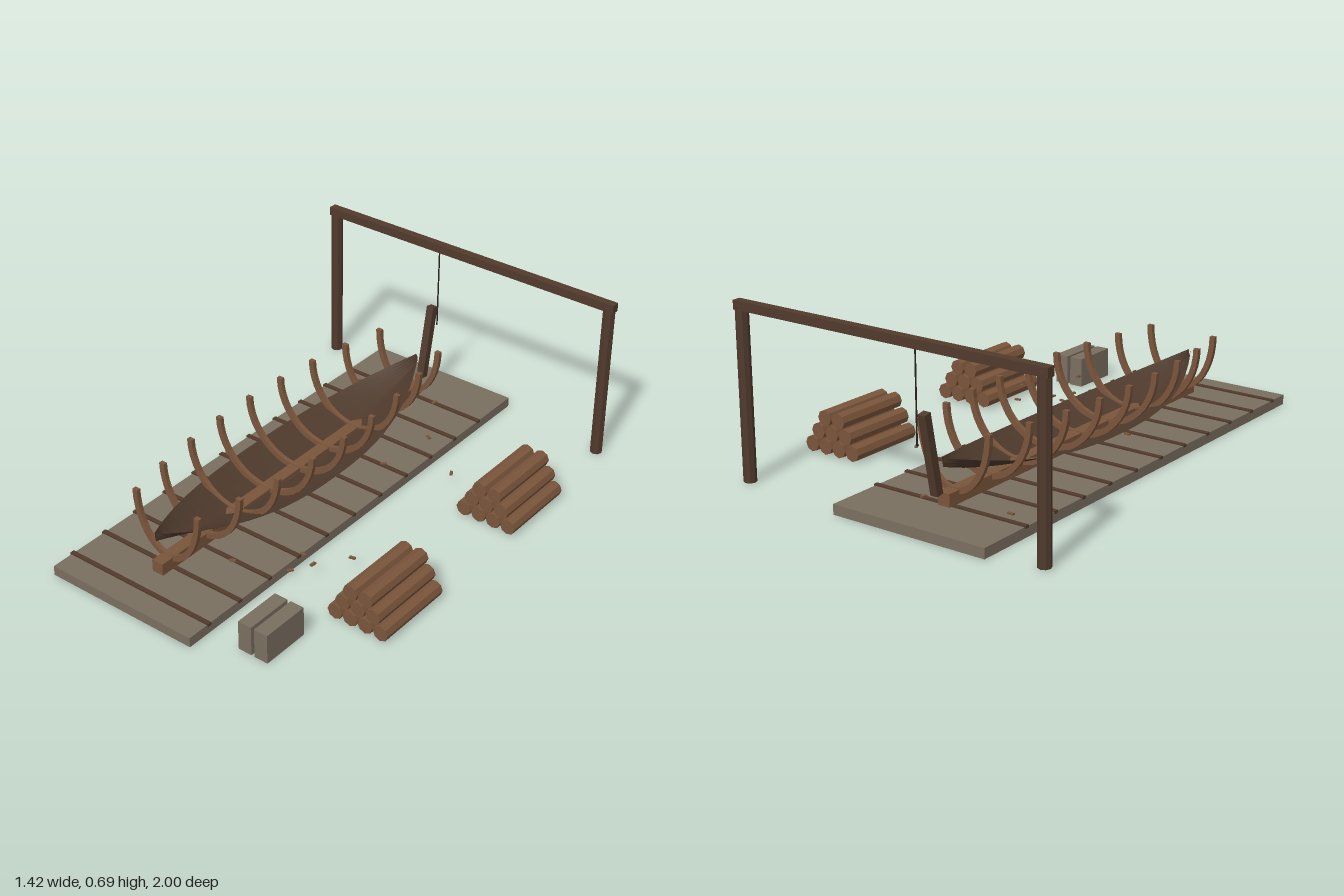
import * as THREE from 'three';

const mat = (name, color, extra = {}) => {
  const m = new THREE.MeshStandardMaterial({ color, ...extra });
  m.name = name;
  return m;
};

export function createModel() {
  const root = new THREE.Group();
  root.name = 'shipyard';
  const stone = mat('stone', 0x7a6f60);
  const wood = mat('wood', 0x7a553b, { flatShading: true });
  const darkWood = mat('dark wood', 0x513a2c, { flatShading: true });
  const planking = mat('hull planking', 0x4e3a2c, { flatShading: true, side: THREE.DoubleSide });
  const ropeMat = mat('rope', 0x2c241e);
  const CX = -0.155; // centre line of the ship

  const add = (name, geo, m, x = 0, y = 0, z = 0, parent = root) => {
    const mesh = new THREE.Mesh(geo, m);
    mesh.name = name;
    mesh.position.set(x, y, z);
    parent.add(mesh);
    return mesh;
  };
  const group = (name) => {
    const g = new THREE.Group();
    g.name = name;
    root.add(g);
    return g;
  };
  const box = (w, h, d) => new THREE.BoxGeometry(w, h, d);

  // Slipway slab with cross sleepers
  add('slipway', box(0.666, 0.04, 2), stone, CX, 0.02, 0);
  const sleepers = group('sleepers');
  for (let i = 0; i < 11; i++) {
    add('sleeper', box(0.676, 0.011, 0.018), darkWood, CX, 0.0405, -0.77 + i * 0.167, sleepers);
  }

  // Keel and leaning stem post
  add('keel', box(0.05, 0.05, 1.6), wood, CX, 0.07, 0);
  const post = add('stemPost', box(0.032, 0.315, 0.032), darkWood, CX, 0.255, -0.866);
  post.rotation.x = -0.19;

  // Open hull shell: curved sections lofted from end to end
  const nz = 28, nu = 12, pos = [], idx = [];
  for (let i = 0; i <= nz; i++) {
    const t = -1 + (2 * i) / nz;
    const k = Math.pow(Math.abs(t), 2.4);
    const half = 0.004 + 0.193 * (1 - k);
    const edge = 0.125 + 0.1 * k;
    const low = 0.069 + 0.121 * k;
    for (let j = 0; j <= nu; j++) {
      const u = -1 + (2 * j) / nu;
      pos.push(CX + half * u, low + (edge - low) * Math.pow(Math.abs(u), 1.3), 0.8 * t);
      if (i < nz && j < nu) {
        const a = i * (nu + 1) + j, b = a + nu + 1;
        idx.push(a, b, a + 1, a + 1, b, b + 1);
      }
    }
  }
  const hull = new THREE.BufferGeometry();
  hull.setAttribute('position', new THREE.Float32BufferAttribute(pos, 3));
  hull.setIndex(idx);
  hull.computeVertexNormals();
  add('hull', hull, planking);

  // Curved ribs: half-ellipse bands, narrower toward the ends
  const ribs = group('ribs');
  for (let i = -4; i <= 4; i++) {
    const outer = 0.245 - 0.085 * (i / 4) ** 2;
    const s = new THREE.Shape();
    s.absellipse(0, 0.32, outer, 0.246, Math.PI, 2 * Math.PI, false);
    s.absellipse(0, 0.32, outer - 0.023, 0.223, 2 * Math.PI, Math.PI, true);
    s.closePath();
    const geo = new THREE.ExtrudeGeometry(s, { depth: 0.018, bevelEnabled: false, curveSegments: 10 });
    add('rib', geo, wood, CX, 0, i * 0.1835 - 0.009, ribs);
  }

  // Lifting gantry with hanging rope
  const gantry = group('gantry');
  for (const x of [-0.685, 0.645]) {
    add('gantryPost', new THREE.CylinderGeometry(0.025, 0.025, 0.668, 8), darkWood, x, 0.334, -0.935, gantry);
  }
  add('gantryBeam', box(1.382, 0.035, 0.035), darkWood, -0.02, 0.668, -0.935, gantry);
  add('rope', new THREE.CylinderGeometry(0.003, 0.003, 0.35, 6), ropeMat, CX, 0.48, -0.935, gantry);

  // Two log piles, rows of 4, 3 and 2
  const logGeo = new THREE.CylinderGeometry(0.032, 0.032, 0.333, 8);
  logGeo.rotateX(Math.PI / 2);
  for (const z of [-0.402, 0.398]) {
    const pile = group('logPile');
    for (let row = 0; row < 3; row++) {
      for (let i = 0; i < 4 - row; i++) {
        add('log', logGeo, wood, 0.477 + row * 0.0335 + i * 0.067, 0.034 + row * 0.057, z, pile);
      }
    }
  }

  // Stone blocks
  for (const x of [0.345, 0.417]) add('stoneBlock', box(0.058, 0.121, 0.2), stone, x, 0.0605, 0.8);

  // Scattered wood chips
  const chips = group('woodChips');
  [[-0.385, -0.72], [-0.04, -0.77], [0.095, -0.54], [0.065, -0.275], [0.315, -0.385], [0.345, 0.29],
    [0.255, 0.41], [0.19, 0.385], [0.213, 0.49], [0.445, 0.45], [0.01, 0.575], [0.325, 0.69],
    [-0.25, 0.2], [-0.23, -0.3]].forEach(([x, z], i) => {
    add('chip', box(0.025, 0.006, 0.012), wood, x, 0.047, z, chips).rotation.y = i * 1.3;
  });
  return root;
}
